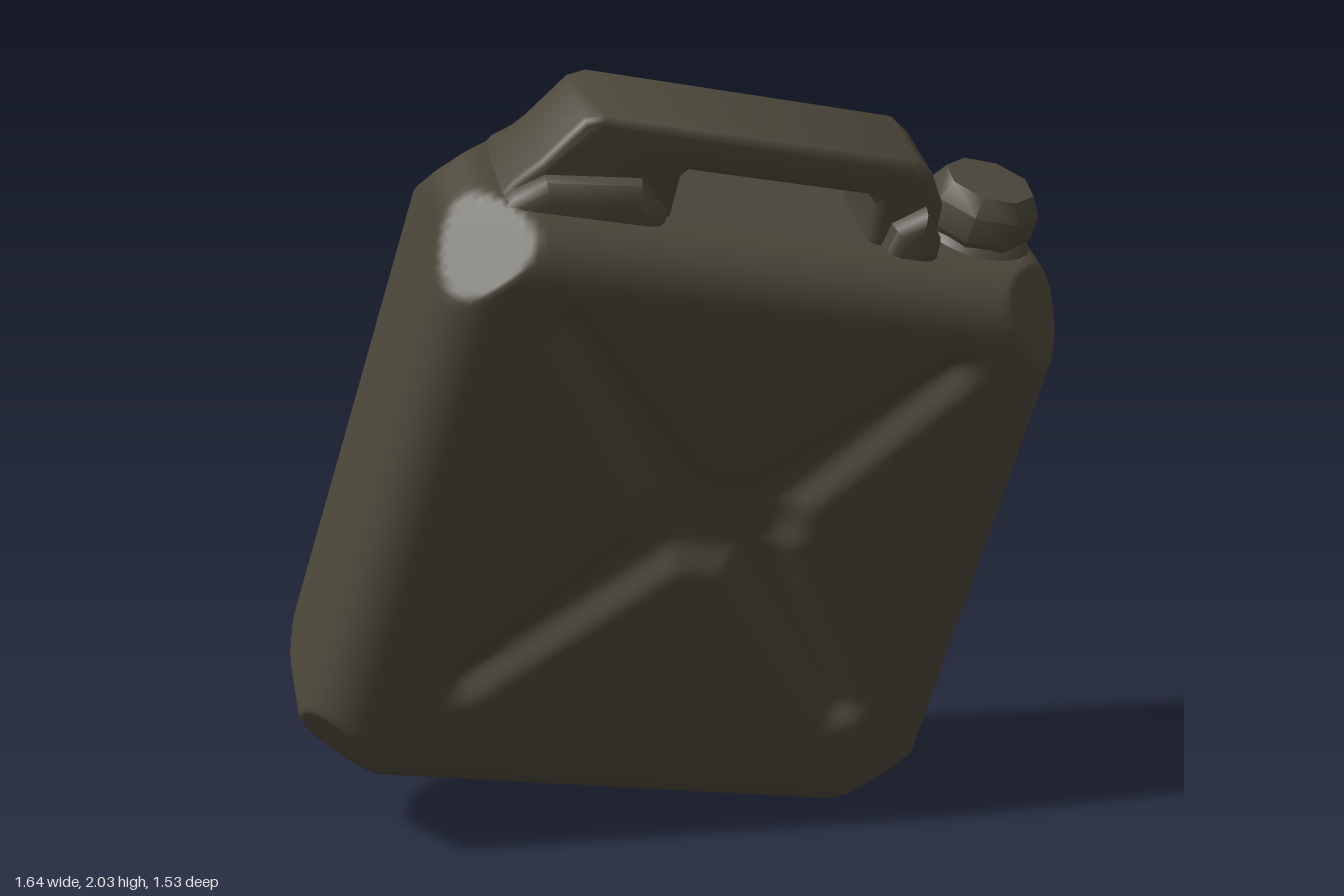
import * as THREE from 'three';
import { mergeVertices, toCreasedNormals } from 'three/addons/utils/BufferGeometryUtils.js';

const W = 0.83, H = 0.82, D = 0.287, R = 0.13; // body half sizes and edge radius
const CORNER = 0.28; // how far the eight corners are cut back
const { clamp, smoothstep } = THREE.MathUtils;

// Distance from (x, y) to the segment a-b, and the position t along it
function segment(x, y, [ax, ay], [bx, by]) {
  const dx = bx - ax, dy = by - ay;
  const t = clamp(((x - ax) * dx + (y - ay) * dy) / (dx * dx + dy * dy), 0, 1);
  return { t, dist: Math.hypot(x - ax - t * dx, y - ay - t * dy) };
}

// Depth of the pressed cross on the two broad faces: wide hub, tapering arms
function crossDepth(x, y) {
  let dist = segment(x, y, [-0.06, 0.1], [0.12, 0.1]).dist - 0.08;
  for (const sx of [-1, 1]) for (const sy of [-1, 1]) {
    const hub = [0.03 + sx * 0.12, 0.1 + sy * 0.07];
    const tip = [0.02 + sx * 0.51, 0.07 + sy * 0.52];
    const arm = segment(x, y, hub, tip);
    dist = Math.min(dist, arm.dist - 0.03 * (1 - arm.t) + 0.01 * arm.t);
  }
  return 0.042 * (1 - smoothstep(dist, 0, 0.085));
}

// Shallow rectangular recess with soft sides
function panel(u, v, hu, hv, soft) {
  return (1 - smoothstep(Math.abs(u), hu - soft, hu)) * (1 - smoothstep(Math.abs(v), hv - soft, hv));
}

// Rounded, tapered can with pressed panels and cut corners
function bodyGeometry() {
  let geo = new THREE.BoxGeometry(2 * W, 2 * H, 2 * D, 72, 72, 24);
  geo.deleteAttribute('normal');
  geo.deleteAttribute('uv');
  geo = mergeVertices(geo, 1e-5);
  const pos = geo.attributes.position;
  const p = new THREE.Vector3(), core = new THREE.Vector3();
  for (let i = 0; i < pos.count; i++) {
    p.fromBufferAttribute(pos, i);
    core.set(clamp(p.x, R - W, W - R), clamp(p.y, R - H, H - R), clamp(p.z, R - D, D - R));
    p.sub(core).setLength(R).add(core);
    const cut = Math.max(0, Math.abs(p.x) - W + Math.abs(p.y) - H + Math.abs(p.z) - D + CORNER) / 3;
    if (Math.abs(p.z) > D - 0.01) p.z -= Math.sign(p.z) * crossDepth(p.x, p.y);
    if (Math.abs(p.x) > W - 0.03) p.x -= Math.sign(p.x) * 0.009 * panel(p.y, p.z, 0.75, 0.11, 0.06);
    if (p.y < -H + 0.02) p.y += 0.02 * panel(p.x + 0.03, p.z, 0.36, 0.14, 0.03);
    p.set(p.x - Math.sign(p.x) * cut, p.y - Math.sign(p.y) * cut, p.z - Math.sign(p.z) * cut);
    p.x *= 1 - 0.075 * (p.y + H) / (2 * H);
    pos.setXYZ(i, p.x, p.y, p.z);
  }
  geo.computeVertexNormals();
  return geo;
}

function polygon(points, Type = THREE.Shape) {
  return new Type(points.map(([x, y]) => new THREE.Vector2(x, y)));
}

// Bevelled plate of half depth hz, centred on z = 0
function plate(shape, hz, bevel) {
  const geo = new THREE.ExtrudeGeometry(shape, {
    depth: 2 * (hz - bevel), bevelEnabled: true, bevelThickness: bevel, bevelSize: bevel, bevelSegments: 3,
  });
  geo.translate(0, 0, bevel - hz);
  return toCreasedNormals(geo, 0.7);
}

// Carrying bar with its two legs
function handleGeometry() {
  const shape = polygon([[0.4, 0.72], [0.375, 0.9], [0.33, 0.965], [0.29, 0.99], [-0.46, 0.995],
    [-0.49, 0.98], [-0.56, 0.87], [-0.61, 0.81], [-0.67, 0.7]]);
  shape.holes.push(polygon([[-0.27, 0.72], [-0.275, 0.9], [-0.25, 0.935], [0.22, 0.935], [0.255, 0.9], [0.275, 0.72]], THREE.Path));
  return plate(shape, 0.125, 0.025);
}

// Small grip loop under the base
function baseLoopGeometry() {
  const shape = polygon([[-0.07, -0.11], [-0.045, -0.135], [0.045, -0.135], [0.07, -0.11],
    [0.07, 0.11], [0.045, 0.135], [-0.045, 0.135], [-0.07, 0.11]]);
  shape.holes.push(polygon([[-0.04, -0.06], [-0.04, 0.08], [0.04, 0.08], [0.04, -0.06]], THREE.Path));
  return plate(shape, 0.035, 0.013).rotateX(Math.PI / 2);
}

function lathe(points, sides) {
  return new THREE.LatheGeometry(points.map(([r, y]) => new THREE.Vector2(r, y)), sides);
}

export function createModel() {
  const olive = new THREE.MeshStandardMaterial({ color: 0x4c473a });
  olive.name = 'darkOlive';

  const can = new THREE.Group();
  can.name = 'can';
  const add = (name, geometry, x = 0, y = 0, z = 0) => {
    const mesh = new THREE.Mesh(geometry, olive);
    mesh.name = name;
    mesh.position.set(x, y, z);
    can.add(mesh);
    return mesh;
  };

  add('body', bodyGeometry(), 0, -0.03, 0);
  add('handle', handleGeometry());

  // Broad feet where the handle meets the body
  const rearFoot = polygon([[-0.3, 0.68], [-0.31, 0.79], [-0.36, 0.835], [-0.55, 0.815], [-0.6, 0.775], [-0.67, 0.68]]);
  const capFoot = polygon([[0.385, 0.68], [0.37, 0.82], [0.345, 0.85], [0.32, 0.83], [0.3, 0.68]]);
  add('rearFoot', plate(rearFoot, 0.175, 0.045));
  add('capFoot', plate(capFoot, 0.175, 0.04));
  add('baseLoop', baseLoopGeometry(), 0.42, -0.843, -0.01);

  // Filler neck and faceted cap
  add('neck', lathe([[0.16, 0.74], [0.14, 0.79], [0.1, 0.82]], 20), 0.56, 0, -0.01);
  const cap = toCreasedNormals(lathe([[0, 0.79], [0.115, 0.79], [0.14, 0.82], [0.138, 0.885], [0.11, 0.93], [0, 0.93]], 8), 0.8);
  add('cap', cap, 0.555, 0, -0.01).rotation.y = 0.3;

  // Leaning pose of the whole can
  const xAxis = new THREE.Vector3(0.892, -0.178, 0.415).normalize();
  const zAxis = xAxis.clone().cross(new THREE.Vector3(0.013, 0.928, 0.372)).normalize();
  const yAxis = zAxis.clone().cross(xAxis);
  can.quaternion.setFromRotationMatrix(new THREE.Matrix4().makeBasis(xAxis, yAxis, zAxis));

  // Stand on the ground, centred
  const model = new THREE.Group();
  model.name = 'fuelCan';
  model.add(can);
  const box = new THREE.Box3().setFromObject(model, true);
  const centre = box.getCenter(new THREE.Vector3());
  can.position.set(-centre.x, -box.min.y, -centre.z);
  return model;
}
